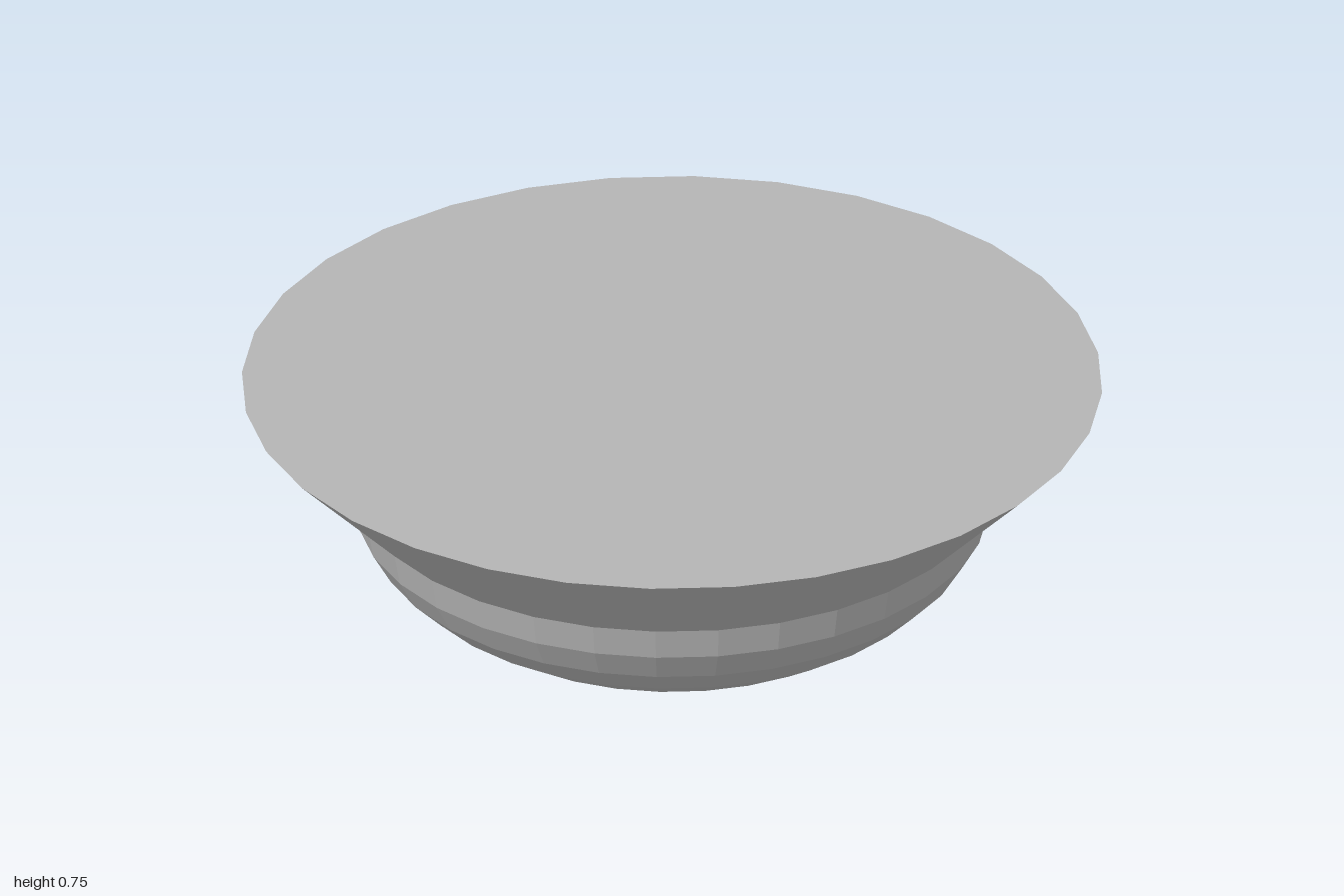
import * as THREE from 'three';

const SIDES = 32;

export function createModel() {
  const model = new THREE.Group();
  model.name = 'ceilingBowl';

  const grey = new THREE.MeshStandardMaterial({ color: 0xb4b4b4, flatShading: true });
  grey.name = 'grey';

  const add = (name, geometry, y) => {
    const mesh = new THREE.Mesh(geometry, grey);
    mesh.name = name;
    mesh.position.y = y;
    model.add(mesh);
  };

  // Flared rim with a closed flat top
  add('flaredRim', new THREE.CylinderGeometry(1, 0.75, 0.25, SIDES), 0.63);

  // Flattened lower half of a sphere
  const bowl = new THREE.SphereGeometry(0.75, SIDES, 8, 0, Math.PI * 2, Math.PI / 2, Math.PI / 2);
  bowl.scale(1, 0.395 / 0.75, 1);
  add('bowl', bowl, 0.505);

  // Pointed finial hanging below the bowl
  const finial = new THREE.ConeGeometry(0.12, 0.1, SIDES);
  finial.rotateX(Math.PI);
  add('finial', finial, 0.05);

  return model;
}
